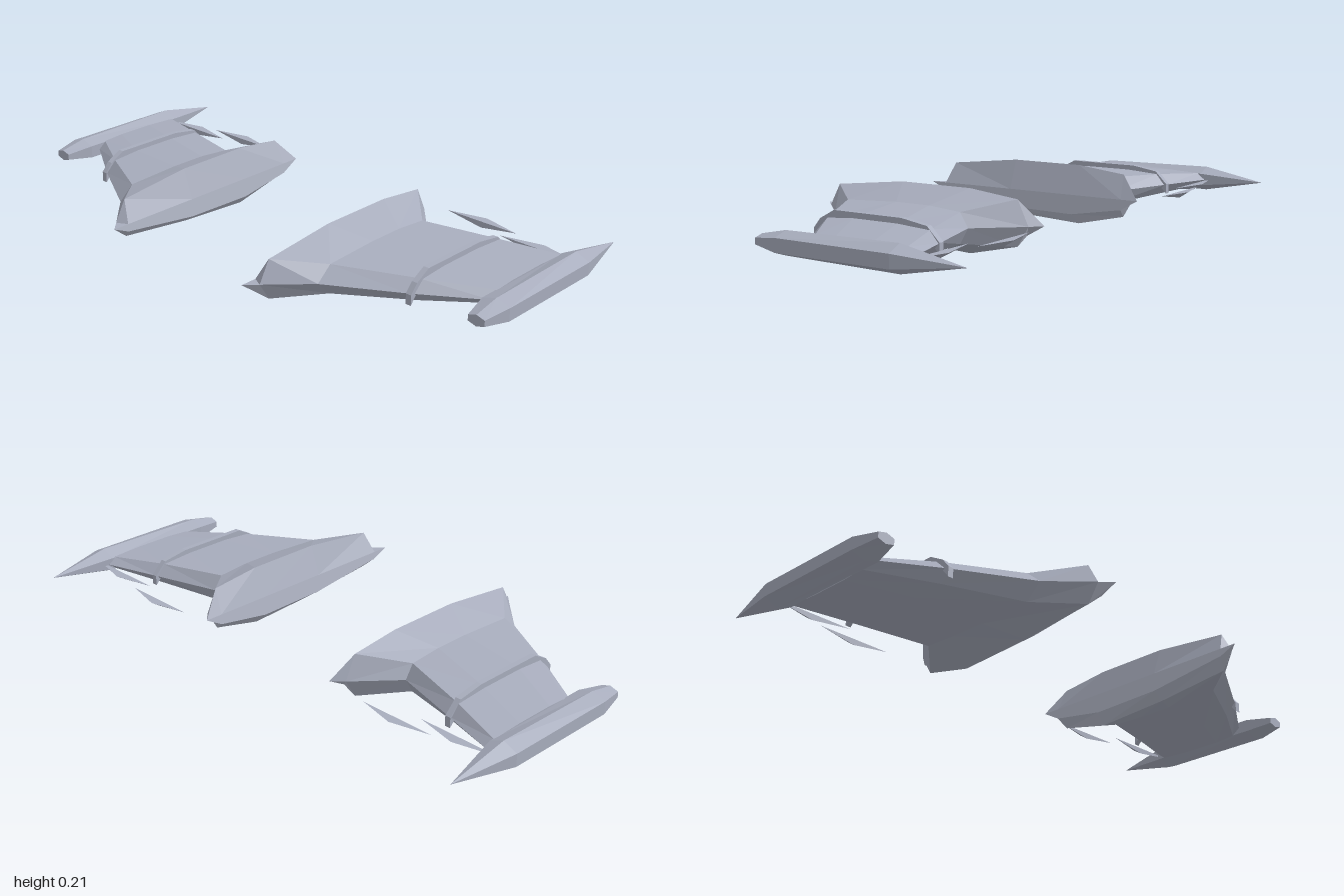
import * as THREE from 'three';

const hull = new THREE.MeshStandardMaterial({ color: 0xa8adbd });
hull.name = 'hull grey';
const pale = new THREE.MeshStandardMaterial({ color: 0xb8bdcd });
pale.name = 'pale root grey';

const MID = 0.107; // height of the edge line

// Flat-shaded skin over equal-length rings, closed at both ends, facing outward
function loft(rings, side) {
  const tris = [];
  const n = rings[0].length;
  const cap = (r) => { for (let j = 1; j < n - 1; j++) tris.push([r[0], r[j], r[j + 1]]); };
  cap([...rings[0]]);
  for (let i = 0; i < rings.length - 1; i++) {
    for (let j = 0; j < n; j++) {
      const k = (j + 1) % n;
      const [a, b, c, d] = [rings[i][j], rings[i][k], rings[i + 1][k], rings[i + 1][j]];
      tris.push([a, d, b], [b, d, c]);
    }
  }
  const last = rings[rings.length - 1];
  for (let j = 1; j < n - 1; j++) tris.push([last[0], last[j + 1], last[j]]);

  // Mirror, then use the signed volume to turn the faces outward
  const v = tris.map((t) => t.map((p) => new THREE.Vector3(p[0] * side, p[1], p[2])));
  const centre = new THREE.Vector3(0.65 * side, MID, 0);
  let volume = 0;
  for (const [a, b, c] of v) {
    const [p, q, r] = [a, b, c].map((w) => w.clone().sub(centre));
    volume += p.dot(q.cross(r));
  }
  const points = v.flatMap(([a, b, c]) => (volume < 0 ? [a, c, b] : [a, b, c]));
  const geo = new THREE.BufferGeometry().setFromPoints(points);
  geo.computeVertexNormals();
  return geo;
}

function add(group, name, geo, material = hull) {
  const mesh = new THREE.Mesh(geo, material);
  mesh.name = name;
  group.add(mesh);
}

// Wing section: trailing edge, underside, leading edge, top
function section({ x, lead, trail, z, top, bottom }) {
  const under = z.map((zz, i) => [x, bottom[i], zz]).reverse();
  const over = z.map((zz, i) => [x, top[i], zz]);
  return [[x, MID, trail], ...under, [x, MID, lead], ...over];
}

const sections = [
  { x: 0.297, lead: 0.52, trail: -0.355, z: [0.46, 0.17, -0.09, -0.29],
    top: [MID, MID, MID, MID], bottom: [0.08, 0.042, 0.037, 0.07] },
  { x: 0.335, lead: 0.48, trail: -0.32, z: [0.44, 0.17, -0.1, -0.28],
    top: [0.18, 0.21, 0.21, 0.19], bottom: [0.045, 0.015, 0, 0.04] },
  { x: 0.46, lead: 0.355, trail: -0.18, z: [0.3, 0.1, -0.03, -0.15],
    top: [0.155, 0.165, 0.165, 0.155], bottom: [0.055, 0.05, 0.05, 0.055] },
  { x: 0.7, lead: 0.215, trail: -0.252, z: [0.175, 0.07, -0.1, -0.22],
    top: [0.145, 0.153, 0.153, 0.145], bottom: [0.07, 0.06, 0.06, 0.07] },
  { x: 0.905, lead: 0.08, trail: -0.315, z: [0.05, -0.03, -0.17, -0.287],
    top: [0.13, 0.135, 0.135, 0.13], bottom: [0.085, 0.08, 0.08, 0.085] },
];

// Six-sided pod section with a ridge above and below
function podRing(z, w, side, ridge) {
  return [[0, ridge], [w, side], [w, -side], [0, -ridge], [-w, -side], [-w, side]]
    .map(([dx, dy]) => [0.95 + dx, MID + dy, z]);
}

// Thin raised strip following the top of the wing
const bandPath = [[0.222, 0.108], [0.195, 0.14], [0.14, 0.17],
  [-0.12, 0.17], [-0.215, 0.155], [-0.26, 0.11]];
function bandRing([z, y]) {
  return [[0.695, y], [0.715, y], [0.715, y - 0.035], [0.695, y - 0.035]]
    .map(([x, h]) => [x, h, z]);
}

// Loose sliver behind the wing: flat on top, keeled below
function sliver(x, half, z, depth) {
  const ring = [[x - half, 0.105, z], [x + half, 0.105, z], [x, 0.105, z - depth]];
  return loft([ring, ring.map(() => [x, 0.083, z])], 1);
}

function buildWing(side) {
  const wing = new THREE.Group();
  wing.name = side > 0 ? 'leftWing' : 'rightWing';

  // Main panel; the root wall and its lower chamfer come first in the skin
  const skin = loft(sections.map(section), side);
  const rootCount = 18 * 3;
  skin.addGroup(0, rootCount, 1);
  skin.addGroup(rootCount, skin.attributes.position.count - rootCount, 0);
  add(wing, 'wingPanel', skin, [hull, pale]);

  // Tip pod with a long rear spike
  add(wing, 'tipPod', loft([
    podRing(0.215, 0.03, 0.01, 0.019),
    podRing(0.12, 0.05, 0.022, 0.038),
    podRing(-0.3, 0.05, 0.022, 0.044),
    podRing(-0.525, 0.0005, 0.0003, 0.0005),
  ], side));

  add(wing, 'wingBand', loft(bandPath.map(bandRing), side));
  add(wing, 'innerSliver', sliver(side > 0 ? 0.54 : -0.595, 0.14, -0.367, 0.034));
  add(wing, 'outerSliver', sliver(side * 0.8, 0.15, -0.319, 0.036));
  return wing;
}

export function createModel() {
  const model = new THREE.Group();
  model.name = 'wingPair';
  for (const side of [1, -1]) model.add(buildWing(side));
  return model;
}
